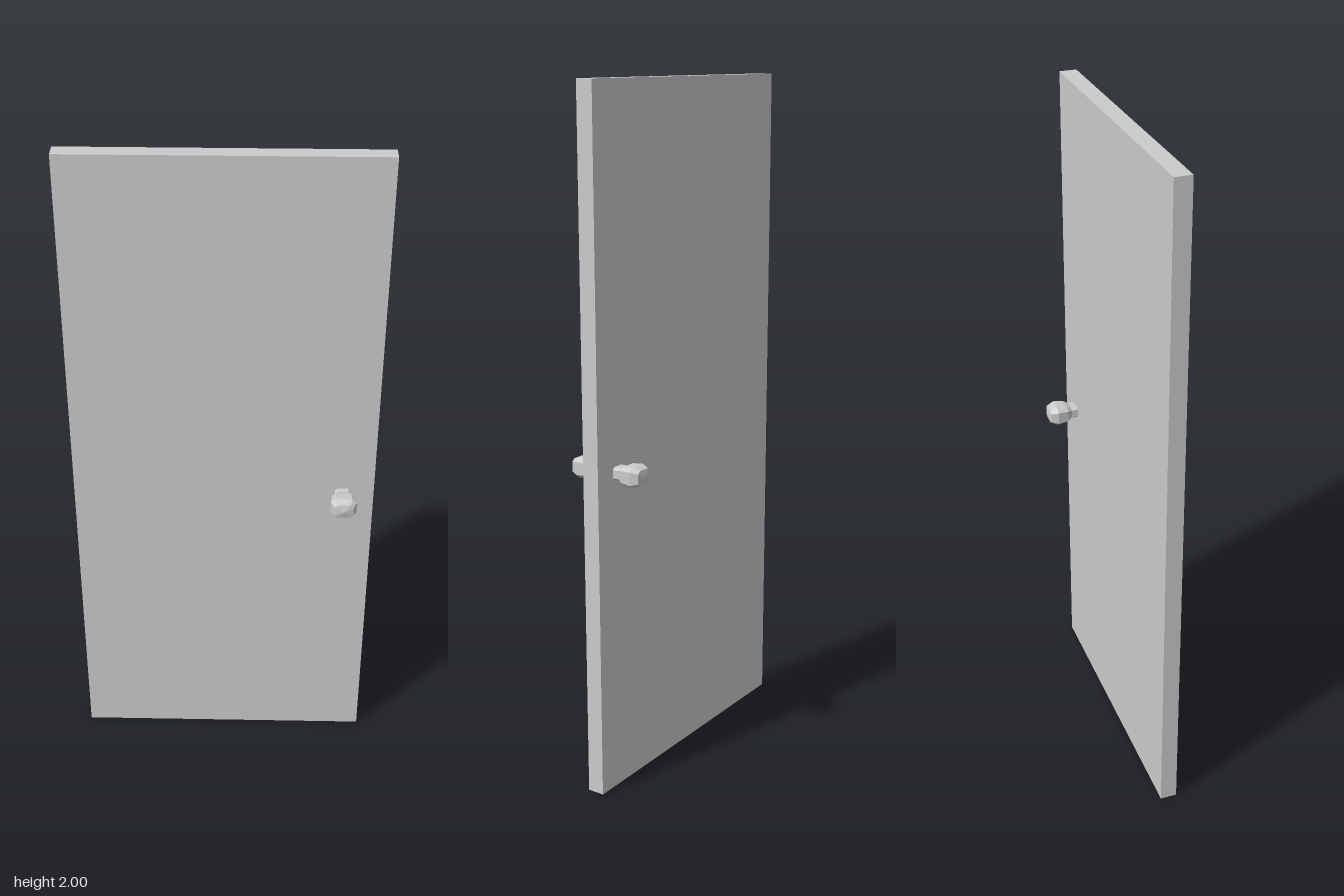
import * as THREE from 'three';

const material = new THREE.MeshStandardMaterial({ color: 0xcccccc, flatShading: true });

// Faceted knob along +z: a lathed neck and bulb, squared off and flattened in height
function knobGeometry() {
  const profile = [
    [0.024, 0.02], [0.024, 0.045], [0.034, 0.06], [0.038, 0.092], [0.028, 0.113], [0, 0.119],
  ].map(([r, z]) => new THREE.Vector2(r, z));
  const geometry = new THREE.LatheGeometry(profile, 8, Math.PI / 8);
  geometry.rotateX(Math.PI / 2);

  const p = geometry.attributes.position;
  const flat = Math.cos(Math.PI / 8);
  const square = (v, r) => (r < 1e-6 ? 0 : Math.sign(v) * r * Math.sqrt(Math.abs(v) / (r * flat)));
  for (let i = 0; i < p.count; i++) {
    const x = p.getX(i), y = p.getY(i), r = Math.hypot(x, y);
    p.setXY(i, square(x, r), square(y, r) * 0.77);
  }
  geometry.computeVertexNormals();
  return geometry;
}

export function createModel() {
  const door = new THREE.Group();
  door.name = 'door';

  // Plain slab
  const panel = new THREE.Mesh(new THREE.BoxGeometry(0.886, 2, 0.05), material);
  panel.name = 'doorPanel';
  panel.position.y = 1;
  door.add(panel);

  // One knob on each face
  const geometry = knobGeometry();
  [['frontKnob', 0], ['backKnob', Math.PI]].forEach(([name, turn]) => {
    const knob = new THREE.Mesh(geometry, material);
    knob.name = name;
    knob.position.set(0.352, 0.945, 0);
    knob.rotation.y = turn;
    door.add(knob);
  });

  return door;
}
